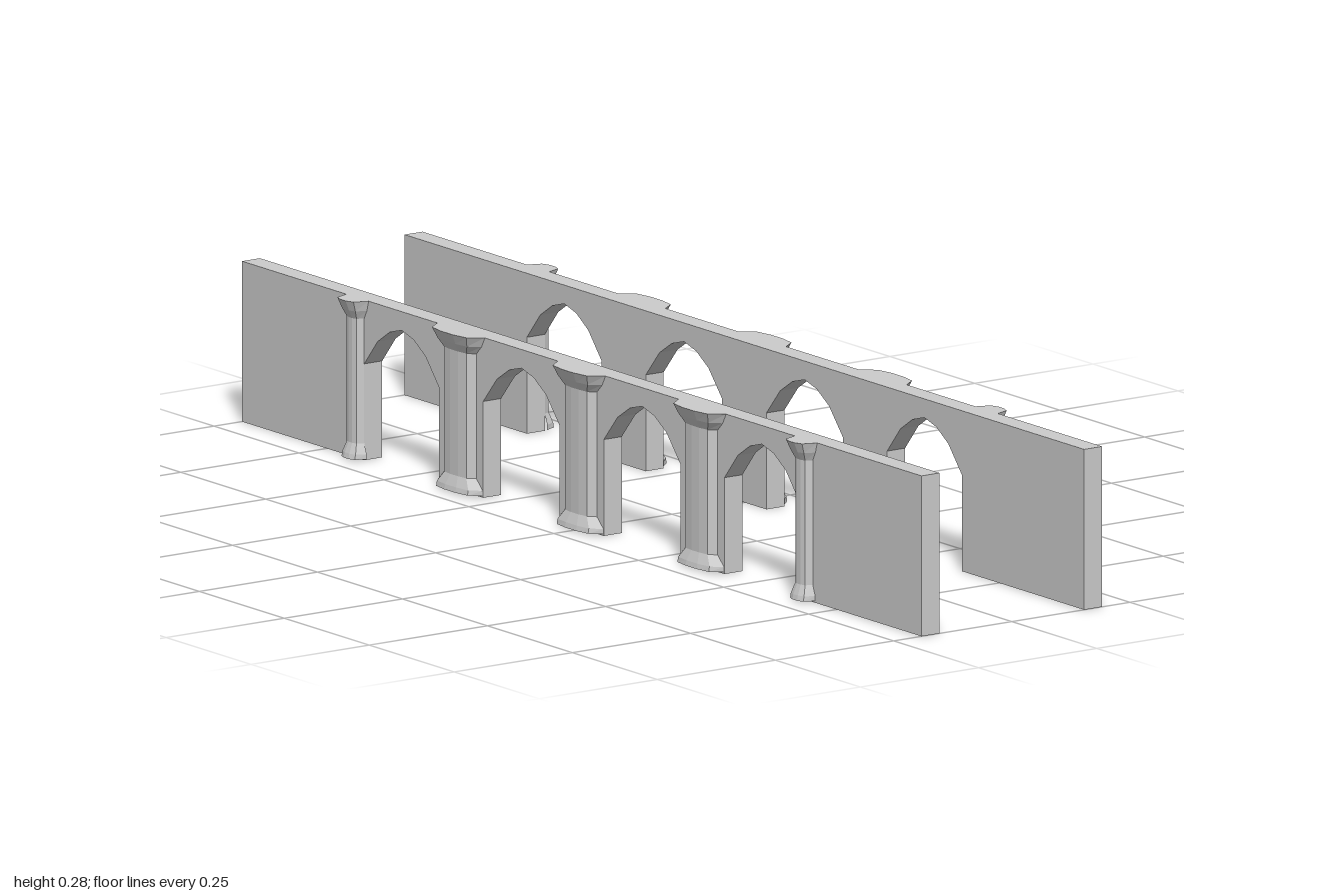
import * as THREE from 'three';

const material = new THREE.MeshStandardMaterial({ color: 0xcccccc, flatShading: true });
const HEIGHT = 0.283, INNER = 0.153, OUTER = 0.191;

// Half of a faceted arch: offset from the arch centre (share of half width), height
const ARCH = [[-1, 0], [-1, 0.17], [-0.64, 0.217], [-0.32, 0.24], [0, 0.25],
  [0.32, 0.24], [0.64, 0.217], [1, 0.17], [1, 0]];

// Wall slab with four arched openings cut from its lower edge
function wallGeometry() {
  const shape = new THREE.Shape();
  shape.moveTo(-1, 0);
  for (const [left, right] of [[-0.64, -0.42], [-0.29, -0.065], [0.065, 0.29], [0.42, 0.64]]) {
    const c = (left + right) / 2, half = (right - left) / 2;
    for (const [u, y] of ARCH) shape.lineTo(c + u * half, y);
  }
  shape.lineTo(1, 0);
  shape.lineTo(1, HEIGHT);
  shape.lineTo(-1, HEIGHT);
  shape.closePath();
  const g = new THREE.ExtrudeGeometry(shape, { depth: OUTER - INNER, bevelEnabled: false });
  return g.translate(0, 0, INNER);
}

// Half-polygon section (share of half width, share of depth), lofted through rings [y, halfWidth, depth]
const SECTION = [[1, 0], [0.72, 0.82], [0.25, 1], [-0.25, 1], [-0.72, 0.82], [-1, 0]];

function pilasterGeometry(rings) {
  const pos = [], idx = [], n = SECTION.length;
  for (const [y, w, d] of rings)
    for (const [u, v] of SECTION) pos.push(u * w, y, OUTER + v * d);
  for (let i = 0; i < rings.length - 1; i++)
    for (let j = 0; j < n - 1; j++) {
      const a = i * n + j, b = a + 1, c = a + n, e = c + 1;
      idx.push(a, c, b, b, c, e);
    }
  const top = (rings.length - 1) * n;
  for (let j = 1; j < n - 1; j++) {
    idx.push(0, j, j + 1);
    idx.push(top, top + j + 1, top + j);
  }
  const g = new THREE.BufferGeometry();
  g.setAttribute('position', new THREE.Float32BufferAttribute(pos, 3));
  g.setIndex(idx);
  const flat = g.toNonIndexed();
  flat.computeVertexNormals();
  return flat;
}

// Flared base, straight shaft and flared capital
function rings(base, shaft, cap) {
  return [
    [0.003, base, 0.024], [0.012, base, 0.022], [0.03, shaft, 0.015],
    [0.25, shaft, 0.015], [0.265, shaft + (cap - shaft) * 0.6, 0.023], [HEIGHT, cap, 0.031],
  ];
}

function add(parent, geometry, name, x = 0) {
  const mesh = new THREE.Mesh(geometry, material);
  mesh.name = name;
  mesh.position.x = x;
  parent.add(mesh);
}

export function createModel() {
  const model = new THREE.Group();
  model.name = 'bridgeSides';
  const wall = wallGeometry();
  const wide = pilasterGeometry(rings(0.064, 0.045, 0.07));
  const narrow = pilasterGeometry(rings(0.027, 0.02, 0.033));

  // Two arcade walls, back to back with a gap between
  for (const [name, turn] of [['frontArcade', 0], ['backArcade', Math.PI]]) {
    const side = new THREE.Group();
    side.name = name;
    side.rotation.y = turn;
    add(side, wall, 'archedWall');
    for (const x of [-0.355, 0, 0.355]) add(side, wide, 'widePilaster', x);
    for (const x of [-0.66, 0.66]) add(side, narrow, 'narrowPilaster', x);
    model.add(side);
  }
  return model;
}
